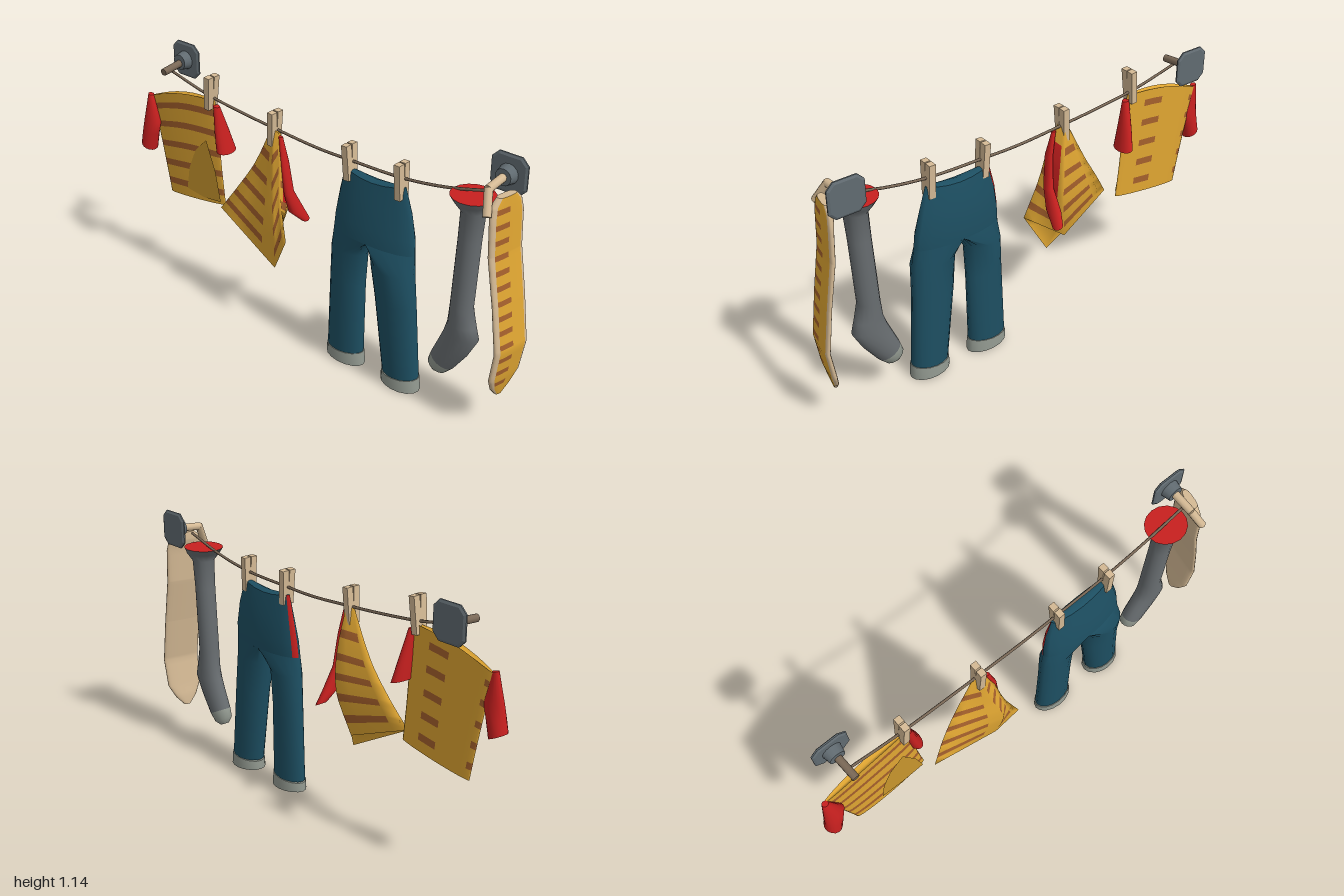
import * as THREE from 'three';

const mat = (name, color, double) => {
  const m = new THREE.MeshStandardMaterial({ color });
  m.name = name;
  if (double) m.side = THREE.DoubleSide;
  return m;
};
const M = {
  yellow: mat('yellowCloth', 0xe0a632), brown: mat('brownStripe', 0xa5602c),
  ochre: mat('shadedFold', 0xc8952d, true), red: mat('redCloth', 0xc8201f),
  blue: mat('blueDenim', 0x1d4f62), cuff: mat('paleGreyCuff', 0x929990),
  grey: mat('greyWool', 0x686d70), plate: mat('wallMetal', 0x616b71),
  wood: mat('paleWood', 0xd5ba95), rope: mat('rope', 0x7a6856),
};
const V = (x, y, z = 0) => new THREE.Vector3(x, y, z);
const mesh = (name, geo, material) => {
  const m = new THREE.Mesh(geo, material);
  m.name = name;
  return m;
};

// Skin over closed rings, listed top to bottom; pick(row, column) chooses the material,
// row -1 being the top cap and the last row the bottom cap.
function loft(name, rings, mats, pick = () => 0) {
  const n = rings[0].length, last = rings.length - 1;
  const pos = [], lists = mats.map(() => []);
  rings.forEach(r => r.forEach(p => pos.push(p.x, p.y, p.z)));
  for (let i = 0; i < last; i++) {
    for (let j = 0; j < n; j++) {
      const a = i * n + j, b = i * n + (j + 1) % n;
      lists[pick(i, j)].push(a, a + n, b + n, a, b + n, b);
    }
  }
  [[rings[0], -1], [rings[last], last]].forEach(([r, row]) => {
    const base = pos.length / 3;
    const c = r.reduce((s, p) => s.add(p), V(0, 0)).divideScalar(n);
    [...r, c].forEach(p => pos.push(p.x, p.y, p.z));
    for (let j = 0; j < n; j++) {
      const a = base + j, b = base + (j + 1) % n;
      lists[pick(row, j)].push(base + n, ...(row < 0 ? [a, b] : [b, a]));
    }
  });
  const geo = new THREE.BufferGeometry();
  geo.setAttribute('position', new THREE.Float32BufferAttribute(pos, 3));
  geo.setIndex(lists.flat());
  let start = 0;
  lists.forEach((l, k) => { geo.addGroup(start, l.length, k); start += l.length; });
  geo.computeVertexNormals();
  return mesh(name, geo, mats);
}

// Oval ring from a left point to a right point, d deep to front and back
function ring(xl, yl, xr, yr, d, z = 0, n = 16, power = 1) {
  const soft = s => Math.sign(s) * Math.abs(s) ** power;
  return Array.from({ length: n }, (_, j) => {
    const a = j / n * Math.PI * 2, u = (1 - soft(Math.cos(a))) / 2;
    return V(xl + (xr - xl) * u, yl + (yr - yl) * u, z + d * soft(Math.sin(a)));
  });
}
const rows = list => list.map(r => ring(...r));
const curve = pts => new THREE.CatmullRomCurve3(pts.map(p => V(...p)));

// Row positions with a narrow band around every stripe; odd rows are stripes
const stripeRows = (centres, half) => [0, ...centres.flatMap(c => [c - half, c + half]), 1];
const isStripe = i => i > 0 && i < 10 && i % 2 === 1;

function hangingShirt() {
  const g = new THREE.Group();
  g.name = 'hangingShirt';
  const L = curve([[-.95, .89], [-.92, .75], [-.89, .6], [-.86, .437]]);
  const R = curve([[-.55, .975], [-.535, .81], [-.525, .65], [-.51, .485]]);
  const rings = stripeRows([.12, .31, .51, .70, .88], .03).map(v => {
    const l = L.getPoint(v), r = R.getPoint(v);
    const out = ring(l.x, l.y, r.x, r.y, .014, 0, 24);
    out.forEach(p => { p.y += .024 * (1 - v) * Math.sin((p.x - l.x) / (r.x - l.x) * Math.PI); });
    return out;
  });
  // stripes run across the front and only show in short pieces behind
  g.add(loft('shirtBody', rings, [M.yellow, M.brown],
    (i, j) => (isStripe(i) && (j < 12 || (j > 15 && j < 18) || j > 21) ? 1 : 0)));
  // folded-over corner of the cloth
  const s = new THREE.Shape([[-.6, .78], [-.67, .71], [-.715, .61], [-.735, .5], [-.63, .488], [-.525, .5], [-.55, .64]]
    .map(p => new THREE.Vector2(...p)));
  const fold = mesh('shirtFold', new THREE.ShapeGeometry(s), M.ochre);
  fold.position.z = .017;
  g.add(fold);
  g.add(loft('rightSleeve', rows([[-.962, .9, -.935, .895, .012, .008], [-.984, .77, -.892, .775, .03, .02],
    [-.992, .71, -.91, .72, .036, .022], [-1, .665, -.932, .632, .038, .022]]), [M.red]));
  g.add(loft('leftSleeve', rows([[-.558, .955, -.528, .95, .014, 0], [-.555, .83, -.508, .83, .038, -.015],
    [-.55, .75, -.49, .735, .052, -.025]]), [M.red]));
  return g;
}

function bunchedShirt() {
  const g = new THREE.Group();
  g.name = 'bunchedShirt';
  // left edge, front crease, right edge and back crease
  const edges = [
    [[-.225, .95, 0], [-.325, .755, .0], [-.415, .615, .02], [-.49, .5, .05]],
    [[-.2, .96, .02], [-.18, .74, .055], [-.15, .55, .085], [-.17, .32, .055]],
    [[-.175, .94, .01], [-.148, .84, .03], [-.125, .68, .06], [-.072, .5, .09]],
    [[-.2, .955, -.02], [-.178, .77, -.048], [-.175, .6, -.05], [-.22, .4, -.005]],
  ].map(curve);
  const rings = stripeRows([.2, .38, .55, .72, .88], .03).map(v => {
    const c = edges.map(e => e.getPoint(v));
    return c.flatMap((p, k) => [0, 1, 2, 3].map(t => p.clone().lerp(c[(k + 1) % 4], t / 4)));
  });
  // the inner lining shows along the right side
  g.add(loft('bunchedBody', rings, [M.yellow, M.brown, M.red], (i, j) => {
    if (i > 0 && i < 7 && (j === 9 || j === 10)) return 2;
    return isStripe(i) && j % 4 !== 3 ? 1 : 0;
  }));
  g.add(loft('bunchedSleeve', rows([[-.175, .93, -.155, .93, .008, .01], [-.155, .82, -.13, .82, .022, .012],
    [-.15, .68, -.115, .68, .026, 0], [-.155, .59, -.105, .58, .04, -.04], [-.14, .54, -.1, .52, .025, -.082]]), [M.red]));
  return g;
}

function trousers() {
  const g = new THREE.Group();
  g.name = 'trousers';
  const hips = rows([[.17, .905, .47, .91, .024], [.145, .8, .505, .8, .042], [.13, .7, .527, .7, .056, .006],
    [.126, .635, .532, .635, .058, .01]]);
  hips[0].forEach(p => { p.y -= .02 * Math.sin((p.x - .17) / .3 * Math.PI); });
  g.add(loft('hips', hips, [M.blue, M.red], (i, j) => (i >= 0 && i < 3 && j === 15 ? 1 : 0)));
  // each leg starts from its half of the lowest hip ring
  const mid = .33;
  const legs = {
    right: [[.12, .55, .293, .55, .054, .008], [.115, .4, .286, .4, .05, .01], [.105, .06, .283, .06, .052, .01]],
    left: [[.337, .55, .537, .55, .066, .024], [.355, .4, .546, .4, .06, .015], [.4, .06, .571, .06, .058, .01]],
  };
  Object.entries(legs).forEach(([side, list]) => {
    const clamp = side === 'right' ? Math.min : Math.max;
    const top = hips[3].map(p => V(clamp(p.x, mid), p.y, p.z));
    g.add(loft(side + 'Leg', [top, ...rows(list)], [M.blue]));
    const [xl, , xr, , d] = list[2];
    g.add(loft(side + 'Cuff', rows([[xl - .003, .055, xr + .003, .066, d + .003, .01],
      [xl - .005, .014, xr + .008, .004, d + .006, .01]]), [M.cuff]));
  });
  return g;
}

function greySock() {
  const rings = rows([[.68, .985, .86, .985, .085], [.7, .96, .845, .96, .075], [.727, .925, .823, .925, .05],
    [.722, .8, .815, .8, .045], [.707, .5, .802, .5, .045], [.7, .42, .822, .42, .046],
    [.685, .37, .838, .365, .047], [.665, .32, .795, .28, .045], [.632, .24, .733, .19, .043],
    [.62, .2, .7, .157, .038], [.635, .165, .667, .15, .02]]);
  return loft('greySock', rings, [M.grey, M.cuff, M.red], i => (i < 0 ? 2 : i >= 8 ? 1 : 0));
}

function stripedSock() {
  // height, inner x, outer x, half depth
  const table = [[1.03, .885, .918, .045], [1, .882, .92, .075], [.95, .892, .923, .085], [.8, .9, .93, .085],
    [.6, .936, .962, .085], [.4, .962, .99, .085], [.27, .943, .972, .08], [.21, .932, .958, .05], [.17, .93, .948, .015]];
  const at = y => {
    const k = Math.max(1, table.findIndex(r => r[0] <= y));
    const a = table[k - 1], b = table[k], t = (a[0] - y) / (a[0] - b[0]);
    return a.map((v, i) => v + (b[i] - v) * t);
  };
  const bands = Array.from({ length: 13 }, (_, k) => .978 - k * .0613);
  const ys = [...new Set([...table.map(r => r[0]), ...bands.flatMap(c => [c - .011, c + .011])])].sort((a, b) => b - a);
  // the sock hangs turned a little, its outer face towards the front
  const rings = ys.map(y => {
    const [, xl, xr, d] = at(y);
    const out = ring(xl, y, xr, y, d, -.01, 24, .7);
    out.forEach(p => { p.x -= .17 * (p.z + .01); });
    return out;
  });
  // outer face yellow with short stripes on its front half, the rest pale
  return loft('stripedSock', rings, [M.wood, M.yellow, M.brown], (i, j) => {
    if (i < 0 || i >= ys.length - 1 || j < 9 || j > 14) return 0;
    const mid = (ys[i] + ys[i + 1]) / 2;
    return j < 12 && bands.some(c => Math.abs(c - mid) < .011) ? 2 : 1;
  });
}

function peg(x, y, tilt) {
  const g = new THREE.Group();
  g.name = 'clothespin';
  [-1, 1].forEach(s => {
    const jaw = mesh('pegJaw', new THREE.BoxGeometry(.028, .15, .03), M.wood);
    jaw.position.z = s * .015;
    jaw.rotation.x = s * .04;
    g.add(jaw);
  });
  g.position.set(x, y, .005);
  g.rotation.z = tilt;
  return g;
}

function wallHook(x, radius, path, rodMaterial) {
  const g = new THREE.Group();
  g.name = 'wallHook';
  const a = .068, b = .045;
  const s = new THREE.Shape([[-a, -b], [-b, -a], [b, -a], [a, -b], [a, b], [b, a], [-b, a], [-a, b]]
    .map(p => new THREE.Vector2(...p)));
  const plate = mesh('wallPlate', new THREE.ExtrudeGeometry(s,
    { depth: .006, bevelSize: .01, bevelThickness: .005, bevelSegments: 1 }), M.plate);
  plate.position.set(x, 1.065, -.098);
  const boss = mesh('hookBoss', new THREE.CylinderGeometry(.034, .042, .04, 14), M.plate);
  boss.rotation.x = Math.PI / 2;
  boss.position.set(x, 1.065, -.07);
  g.add(plate, boss);
  for (let i = 0; i + 1 < path.length; i++) {
    const p = V(...path[i]), q = V(...path[i + 1]), d = q.clone().sub(p);
    const rod = mesh('hookRod', new THREE.CylinderGeometry(radius, radius, d.length() + .01, 10), rodMaterial);
    rod.position.copy(p).add(q).multiplyScalar(.5);
    rod.quaternion.setFromUnitVectors(V(0, 1), d.normalize());
    g.add(rod);
  }
  return g;
}

export function createModel() {
  const g = new THREE.Group();
  g.name = 'clothesline';
  g.add(wallHook(-.815, .016, [[-.815, 1.06, -.06], [-.81, 1.05, .045]], M.rope));
  g.add(wallHook(.855, .017, [[.855, 1.065, -.06], [.855, 1.055, .04], [.885, .975, .085]], M.wood));
  const line = curve([[-.81, 1.04], [-.6, .992], [-.4, .967], [-.2, .95], [.03, .935], [.2, .937], [.45, .945],
    [.65, .975], [.855, 1.03]]);
  g.add(mesh('line', new THREE.TubeGeometry(line, 48, .006, 6), M.rope));
  [[-.567, 1.012, -.1], [-.203, .957, -.06], [.195, .935, .06], [.449, .935, .02]].forEach(p => g.add(peg(...p)));
  g.add(hangingShirt(), bunchedShirt(), trousers(), greySock(), stripedSock());
  return g;
}
